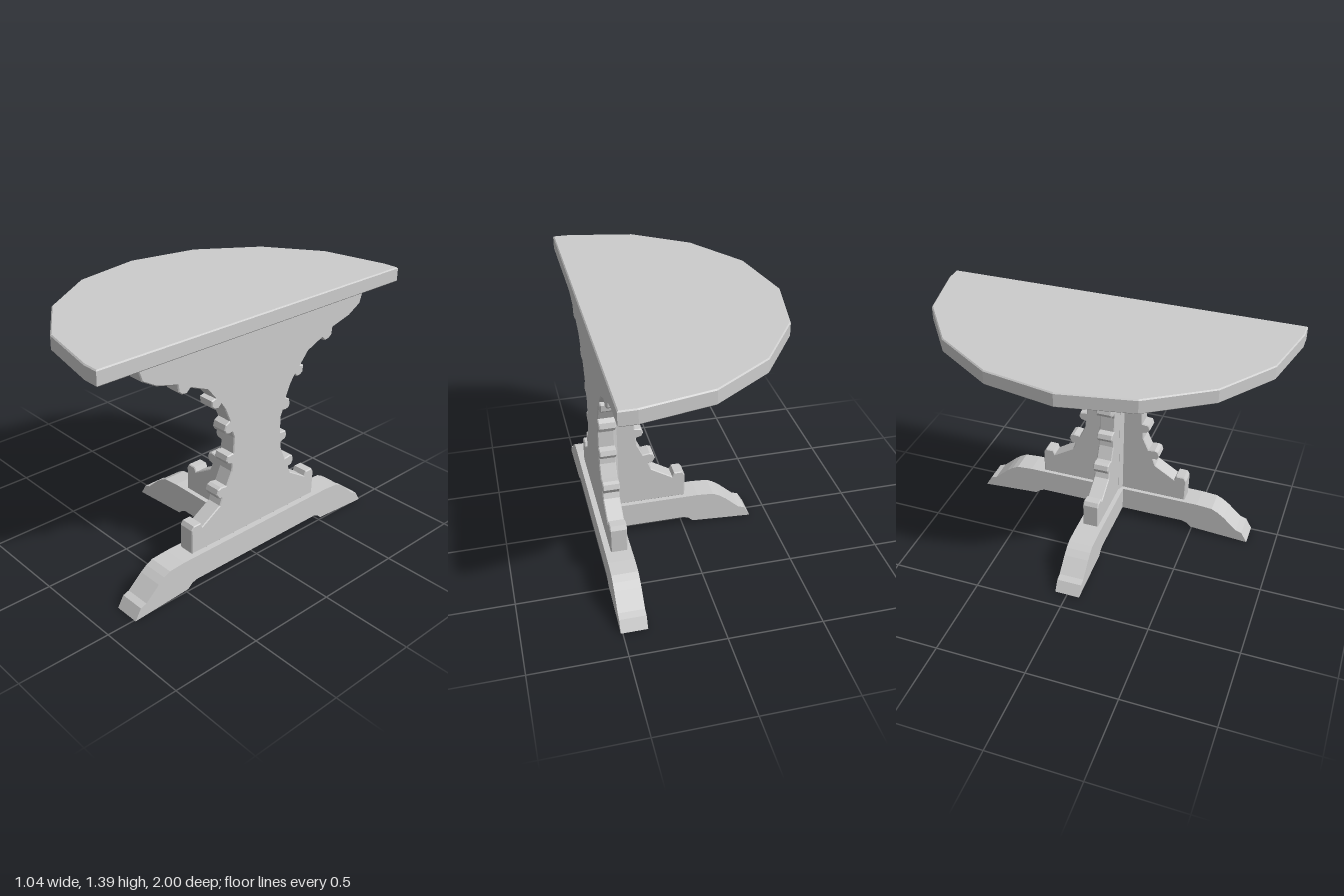
import * as THREE from 'three';

const mat = new THREE.MeshStandardMaterial({ color: 0xcccccc, flatShading: true });

// Half outlines as [distance from centre, height], top to bottom
const panelHalf = [
  [.754, 1.312], [.754, 1.3], [.736, 1.247], [.655, 1.2], [.53, 1.167], [.526, 1.129], [.505, 1.111], [.475, 1.107],
  [.452, 1.129], [.349, 1.085], [.294, 1.022], [.32, 1.015], [.316, .98], [.3, .966], [.275, .963],
  [.257, .98], [.23, .94], [.198, .867], [.224, .852], [.232, .823], [.222, .803], [.2, .797], [.18, .8],
  [.166, .764], [.17, .676], [.208, .672], [.217, .646], [.206, .626], [.176, .617],
  [.18, .576], [.213, .503], [.25, .508], [.27, .5], [.279, .473], [.264, .447], [.242, .444],
  [.257, .403], [.375, .33], [.386, .355], [.433, .355], [.447, .333], [.445, .195],
];
const footHalf = [
  [.525, .197], [.617, .19], [.654, .171], [.69, .145], [.77, .072], [.805, .06],
  [.84, 0], [.499, .022], [.473, .045], [.444, .056],
];
const topHalf = [[.51, 1], [.42, 1], [.06, .925], [-.24, .715], [-.455, .39]];

const toShape = (pts) => new THREE.Shape(pts.map(([a, b]) => new THREE.Vector2(a, b)));
const mirrored = (half) => [...half, ...half.map(([d, y]) => [-d, y]).reverse()];

// Extrude centred on depth, with a small bevel kept inside the outline
function slab(pts, depth, bevel) {
  const geo = new THREE.ExtrudeGeometry(toShape(pts), {
    depth: depth - 2 * bevel, bevelEnabled: bevel > 0, bevelSize: bevel,
    bevelThickness: bevel, bevelOffset: -bevel, bevelSegments: 1,
  });
  return geo.translate(0, 0, bevel - depth / 2);
}

export function createModel() {
  const group = new THREE.Group();
  const add = (name, geo, x = 0, y = 0) => {
    const mesh = new THREE.Mesh(geo, mat);
    mesh.name = name;
    mesh.position.set(x, y, 0);
    group.add(mesh);
  };

  // Half-round faceted top
  const outline = [...topHalf, [-.53, 0], ...topHalf.map(([x, z]) => [x, -z]).reverse()];
  add('tableTop', slab(outline, .08, .006).rotateX(Math.PI / 2), 0, 1.355);

  // Full scrolled panel along the straight edge
  add('backPanel', slab(mirrored(panelHalf), .09, .005).rotateY(Math.PI / 2), .435);

  // Half scrolled panel under the curved side
  const half = panelHalf.map(([d, y]) => [.43 - d, y]);
  add('sidePanel', slab([[.4, 1.312], ...half, [.4, .195]], .09, .005));

  // Corner fillet where the panels meet
  const fillet = slab([[.358, .046], [.392, .062], [.392, -.062], [.358, -.046]], 1.112, 0);
  add('cornerFillet', fillet.rotateX(Math.PI / 2), 0, .754);

  // Long foot, and the short foot meeting it at right angles
  add('longFoot', slab(mirrored(footHalf), .14, 0).rotateY(Math.PI / 2), .44);
  const shortFoot = footHalf.map(([d, y]) => [.44 - d, y]);
  add('shortFoot', slab([[.39, .197], ...shortFoot, [.39, .056]], .14, 0));

  return group;
}
